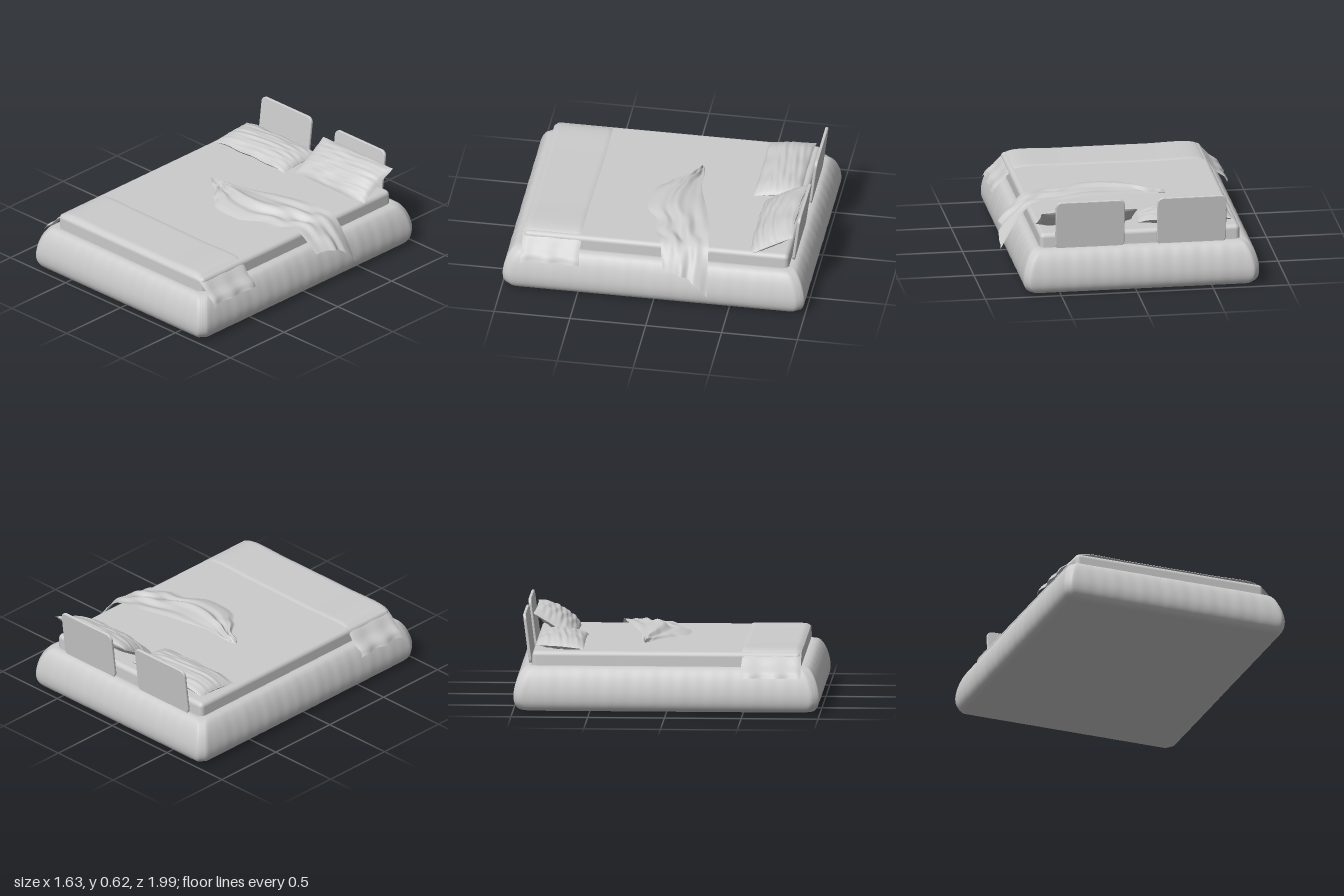
import * as THREE from 'three';
import { RoundedBoxGeometry } from 'three/addons/geometries/RoundedBoxGeometry.js';

const MID_X = -0.036;
const grey = new THREE.MeshStandardMaterial({ color: 0xcccccc, roughness: 0.9 });
const cloth = new THREE.MeshStandardMaterial({ color: 0xcccccc, roughness: 0.9, side: THREE.DoubleSide });

function add(parent, name, geometry, material = grey) {
  const mesh = new THREE.Mesh(geometry, material);
  mesh.name = name;
  parent.add(mesh);
  return mesh;
}

// Smooth grid surface: fn(u, v) gives [x, y, z] for u, v in 0..1
function sheet(nu, nv, fn) {
  const pos = [], idx = [];
  for (let j = 0; j <= nv; j++)
    for (let i = 0; i <= nu; i++) pos.push(...fn(i / nu, j / nv));
  for (let j = 0; j < nv; j++)
    for (let i = 0; i < nu; i++) {
      const a = j * (nu + 1) + i, b = a + nu + 1;
      idx.push(a, b, a + 1, b, b + 1, a + 1);
    }
  const g = new THREE.BufferGeometry();
  g.setAttribute('position', new THREE.Float32BufferAttribute(pos, 3));
  g.setIndex(idx);
  g.computeVertexNormals();
  return g;
}

const curve = pts => new THREE.CatmullRomCurve3(pts.map(p => new THREE.Vector3(p[0], p[1], p[2] || 0)));
const smooth = THREE.MathUtils.smoothstep;

// Padded frame: one bulging bolster per side, mitred at the corners
function buildFrame() {
  const frame = new THREE.Group();
  frame.name = 'paddedFrame';
  const profile = curve([[0.14, 0.28], [0.12, 0.293], [0.095, 0.295], [0.065, 0.283], [0.037, 0.245],
    [0.018, 0.2], [0.005, 0.15], [0, 0.1], [0.008, 0.05], [0.035, 0.013], [0.09, 0]]);
  const hx = 0.775, hz = 0.995;
  for (let k = 0; k < 4; k++) {
    const [half, depth] = k % 2 ? [hz, hx] : [hx, hz];
    const side = add(frame, 'bolster', sheet(100, 28, (u, v) => {
      const p = profile.getPoint(v), s = u * 2 - 1;
      const inset = p.x + 0.02 * smooth(Math.abs(s), 0.93, 1) ** 2;
      const x = s * (half - inset);
      const ripple = 0.002 * Math.sin(x * 47 + k) * Math.sin(x * 19 + 2 * k)
        * Math.sin(Math.PI * v) * (1 - s ** 8);
      return [x, p.y, depth - inset + ripple];
    }));
    side.rotation.y = k * Math.PI / 2;
  }
  const floor = new THREE.PlaneGeometry(2 * (hx - 0.09), 2 * (hz - 0.09));
  add(frame, 'underside', floor).rotation.x = Math.PI / 2;
  frame.position.x = MID_X;
  return frame;
}

// Thin back panel with rounded corners, leaning backwards
function backPanelGeometry(w, h, r) {
  const s = new THREE.Shape(), x = w / 2;
  s.moveTo(-x + r, 0);
  s.lineTo(x - r, 0);
  s.absarc(x - r, r, r, -Math.PI / 2, 0);
  s.absarc(x - r, h - r, r, 0, Math.PI / 2);
  s.absarc(-x + r, h - r, r, Math.PI / 2, Math.PI);
  s.absarc(-x + r, r, r, Math.PI, Math.PI * 1.5);
  return new THREE.ExtrudeGeometry(s, {
    depth: 0.008, bevelEnabled: true, bevelSize: 0.006, bevelOffset: -0.006,
    bevelThickness: 0.006, bevelSegments: 3, curveSegments: 8,
  });
}

// Pillow: two puffed faces meeting in a thin rim, with lengthwise creases
function buildPillow(name, w, d, h, seed, sag) {
  const pillow = new THREE.Group();
  pillow.name = name;
  for (const dir of [1, -1]) {
    add(pillow, dir > 0 ? 'pillowTop' : 'pillowBottom', sheet(56, 40, (u, v) => {
      const a = u * 2 - 1, b = v * 2 - 1;
      const puff = ((1 - a ** 4) * (1 - b * b)) ** 0.6;
      const crease = 0.06 * Math.sin(b * 15 + 2.2 * Math.sin(a * 3 + seed))
        + 0.05 * Math.sin(b * 24 + a * 5 + seed);
      const x = a * w / 2 * (1 - 0.03 * (1 - b * b));
      const z = b * d / 2 * (1 - 0.03 * (1 - a * a));
      const y = dir * h * puff * (1 + crease) - sag * a ** 4
        + 0.004 * Math.sin(a * 9 + seed) * Math.abs(b);
      return [x, y, z];
    }), cloth);
  }
  return pillow;
}

// Folded runner across the foot, hanging over both sides
function runnerGeometry() {
  const path = curve([[-0.815, 0.235], [-0.795, 0.27], [-0.745, 0.308], [-0.695, 0.362], [-0.645, 0.396],
    [-0.3, 0.4], [0.25, 0.4], [0.57, 0.396], [0.62, 0.362], [0.67, 0.308], [0.712, 0.27], [0.73, 0.235]]);
  return sheet(90, 24, (u, v) => {
    const p = path.getPoint(u), hang = Math.max(0, 0.39 - p.y);
    const x = p.x + Math.sign(p.x) * hang * 0.06 * Math.sin(v * 14);
    const lip = 0.016 * smooth(v, 0.93, 1) + 0.006 * smooth(1 - v, 0.95, 1);
    return [x, p.y - lip, 0.49 + 0.385 * v + 0.004 * Math.sin(u * 25) * (1 - v)];
  });
}

// Crumpled throw, lofted between its rear and front hems
function throwGeometry() {
  const rear = curve([[-0.31, 0.395, -0.17], [-0.2, 0.405, -0.19], [-0.08, 0.415, -0.19], [0.05, 0.42, -0.22],
    [0.2, 0.43, -0.265], [0.38, 0.43, -0.315], [0.52, 0.425, -0.335], [0.62, 0.4, -0.35],
    [0.71, 0.29, -0.36], [0.805, 0.13, -0.37]]);
  const front = curve([[-0.3, 0.395, -0.15], [-0.19, 0.394, -0.07], [-0.11, 0.395, 0.02], [-0.04, 0.395, 0.08],
    [0.17, 0.395, 0.13], [0.32, 0.395, 0.05], [0.47, 0.396, 0.02], [0.6, 0.396, -0.03],
    [0.68, 0.33, -0.05], [0.735, 0.26, -0.07]]);
  return sheet(100, 40, (u, v) => {
    const p = rear.getPoint(u).lerp(front.getPoint(u), v);
    const swell = Math.sin(Math.PI * v), onBed = 1 - smooth(u, 0.68, 0.85);
    const fold = Math.sin(v * 15 + 4 * u + 1.5 * Math.sin(u * 9)) * 0.012
      + Math.sin(v * 27 - u * 14) * 0.005;
    p.y += swell * onBed * (0.028 * Math.sin(Math.PI * Math.min(1, u * 1.4)) + fold);
    p.x += (1 - onBed) * swell * (0.02 + fold);
    p.y += smooth(u, 0.8, 1) * 0.06 * Math.sin(Math.PI * v);
    p.z += 0.01 * Math.sin(u * 40) * v * v * onBed;
    if (onBed > 0.9) p.y = Math.max(p.y, 0.391);
    return [p.x, p.y, p.z];
  });
}

export function createModel() {
  const bed = new THREE.Group();
  bed.name = 'bed';
  bed.add(buildFrame());

  const mattress = add(bed, 'mattress', new RoundedBoxGeometry(1.315, 0.25, 1.75, 5, 0.03));
  mattress.position.set(MID_X, 0.262, -0.003);

  // Pair of back panels
  for (const [name, x] of [['rightBackPanel', -0.37], ['leftBackPanel', 0.298]]) {
    const panel = add(bed, name, backPanelGeometry(0.455, 0.335, 0.04));
    panel.position.set(x, 0.283, -0.895);
    panel.rotation.x = -0.125;
  }

  // One pillow lies flat, the other leans on its panel
  const flat = buildPillow('flatPillow', 0.64, 0.31, 0.046, 1, 0.012);
  flat.position.set(-0.34, 0.425, -0.695);
  flat.rotation.x = 0.08;
  const leaning = buildPillow('leaningPillow', 0.635, 0.325, 0.05, 4, 0.018);
  leaning.position.set(0.3, 0.465, -0.755);
  leaning.rotation.x = 0.52;
  bed.add(flat, leaning);

  add(bed, 'footRunner', runnerGeometry(), cloth);
  add(bed, 'crumpledThrow', throwGeometry(), cloth);
  return bed;
}
